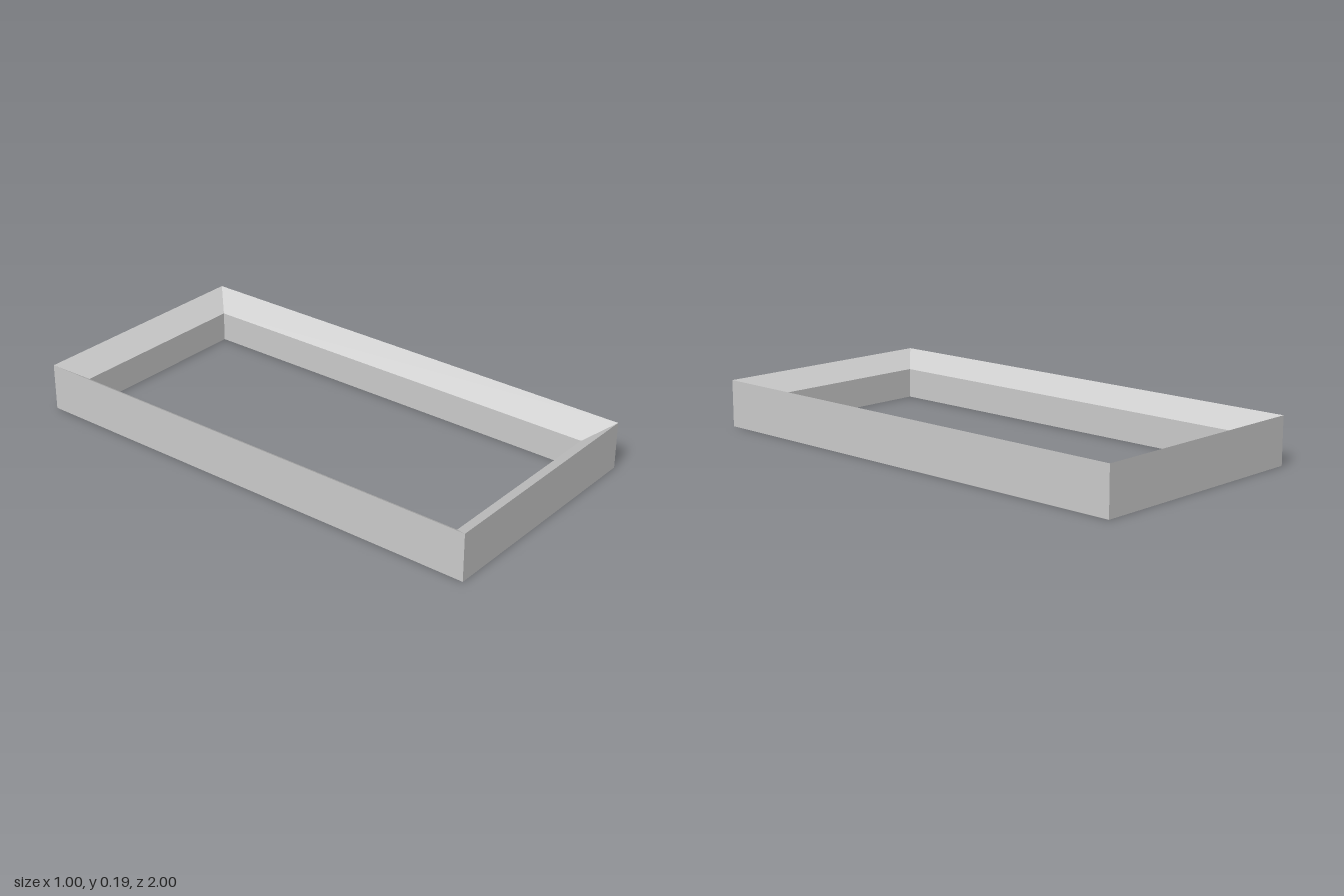
import * as THREE from 'three';

const HALF_X = 0.5, HALF_Z = 1;

// Rail cross-section as [inset, height]: the top slopes down towards the opening
const PROFILE = [[0, 0], [0, 0.193], [0.097, 0.124], [0.097, 0]];

// Corner signs [x, z], counter-clockwise seen from above
const CORNERS = [[1, 1], [1, -1], [-1, -1], [-1, 1]];
const NAMES = ['leftRail', 'backRail', 'rightRail', 'frontRail'];

const cornerPoint = ([sx, sz], [inset, y]) => [sx * (HALF_X - inset), y, sz * (HALF_Z - inset)];

// Mitred rail: the cross-section swept from one corner to the next
function railGeometry(start, end) {
  const positions = [];
  PROFILE.forEach((p, i) => {
    const q = PROFILE[(i + 1) % PROFILE.length];
    const a = cornerPoint(start, p), b = cornerPoint(end, p);
    const c = cornerPoint(end, q), d = cornerPoint(start, q);
    positions.push(...a, ...b, ...c, ...a, ...c, ...d);
  });
  const geometry = new THREE.BufferGeometry();
  geometry.setAttribute('position', new THREE.Float32BufferAttribute(positions, 3));
  geometry.computeVertexNormals();
  return geometry;
}

export function createModel() {
  const group = new THREE.Group();
  group.name = 'frame';
  const material = new THREE.MeshStandardMaterial({ color: 0xcccccc, flatShading: true });

  // Four rails meeting at the mitred corners
  NAMES.forEach((name, i) => {
    const rail = new THREE.Mesh(railGeometry(CORNERS[i], CORNERS[(i + 1) % 4]), material);
    rail.name = name;
    group.add(rail);
  });
  return group;
}
